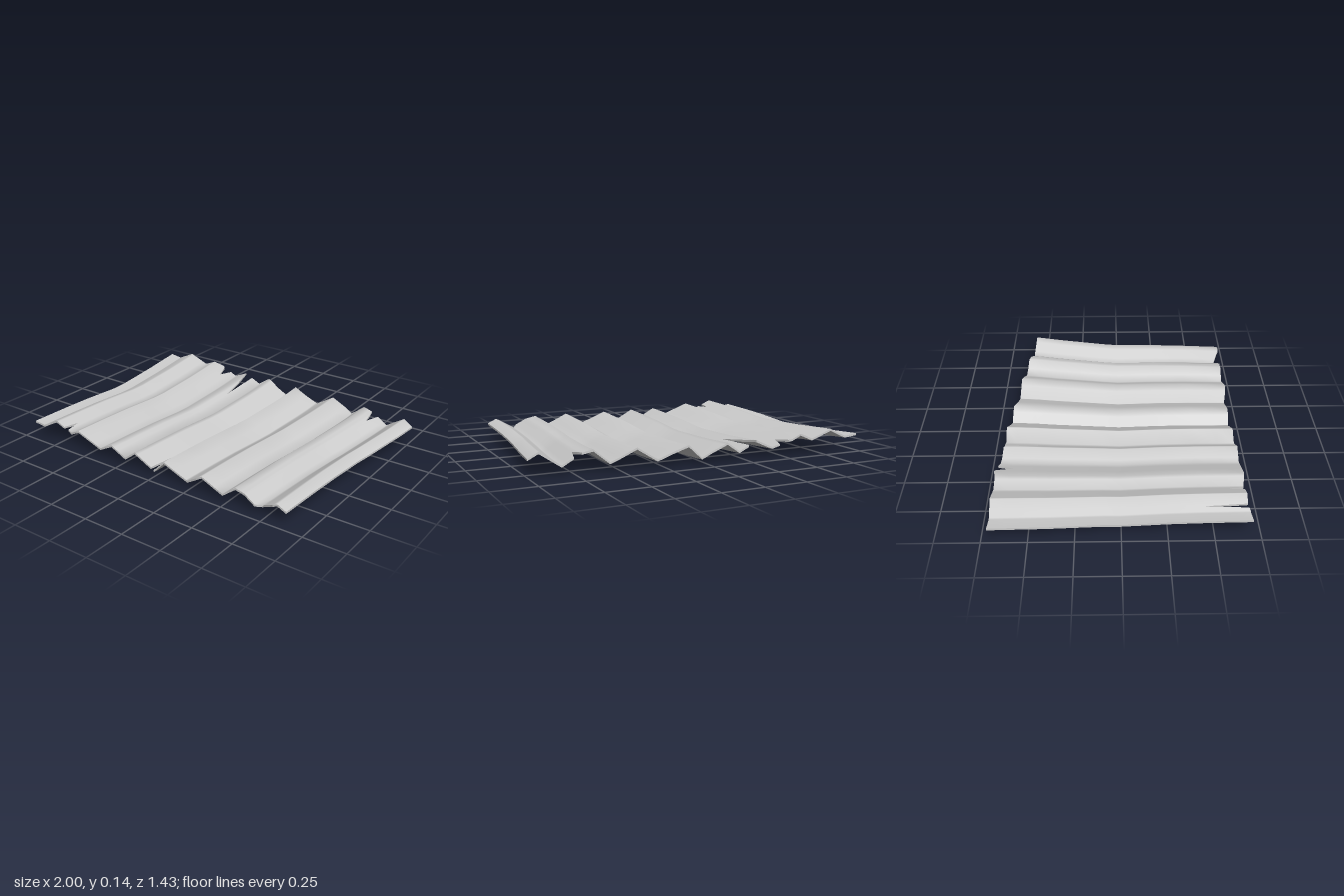
import * as THREE from 'three';
import { mergeVertices } from 'three/addons/utils/BufferGeometryUtils.js';

const THICK = 0.012;

// Piecewise linear lookup in a flat list of key, value pairs
function lerpTable(t, k) {
  if (k <= t[0]) return t[1];
  for (let i = 2; i < t.length; i += 2) {
    if (k <= t[i]) return t[i - 1] + (t[i + 1] - t[i - 1]) * (k - t[i - 2]) / (t[i] - t[i - 2]);
  }
  return t[t.length - 1];
}

// Corrugation across the width: u (-1..1), height
const profile = [
  -1, 0.072, -0.92, 0.062, -0.81, 0.113, -0.68, 0.065, -0.6, 0.1, -0.41, 0.037, -0.31, 0.083,
  -0.2, 0.03, -0.12, 0.085, 0.03, 0.012, 0.11, 0.088, 0.29, 0.022, 0.41, 0.098, 0.56, 0.03,
  0.65, 0.105, 0.72, 0.09, 0.82, 0.032, 0.94, 0.113, 1, 0.08,
];
// Torn front and back edges: u, z
const frontEdge = [
  -1, 0.705, -0.91, 0.7, -0.891, 0.695, -0.881, 0.43, -0.869, 0.69, -0.743, 0.69, -0.727, 0.59,
  -0.71, 0.685, -0.62, 0.7, -0.29, 0.7, 0.005, 0.69, 0.019, 0.45, 0.027, 0.69, 0.28, 0.69,
  0.37, 0.705, 0.69, 0.7, 0.792, 0.712, 0.82, 0.675, 0.89, 0.7, 0.91, 0.71, 1, 0.71,
];
const backEdge = [
  -1, -0.71, -0.9, -0.705, -0.8, -0.71, -0.6, -0.705, -0.53, -0.72, -0.515, -0.71, -0.49, -0.61,
  -0.455, -0.705, -0.38, -0.69, -0.31, -0.685, -0.264, -0.38, -0.262, -0.685, -0.1, -0.685,
  -0.03, -0.67, 0.08, -0.665, 0.2, -0.645, 0.5, -0.63, 0.6, -0.61, 0.71, -0.595, 0.735, -0.48,
  0.755, -0.59, 0.85, -0.58, 1, -0.56,
];
// Side edges (z, x) and lengthwise sag (z, lift)
const leftSide = [-0.71, -1, -0.1, -0.95, 0.71, -0.95];
const rightSide = [-0.56, 1, 0, 0.92, 0.71, 0.88];
const sag = [-0.7, 0.03, -0.4, 0.012, -0.1, 0.001, 0, 0, 0.25, 0.014, 0.45, 0.02, 0.7, 0.024];

function surfacePoint(u, z) {
  const left = lerpTable(leftSide, z), right = lerpTable(rightSide, z);
  // Ridges flatten towards the front right
  const flatten = 1 - 0.25 * Math.max(0, z / 0.7) * Math.max(0, u);
  return [
    left + (right - left) * (u + 1) / 2,
    lerpTable(profile, u) * flatten + lerpTable(sag, z),
    z,
  ];
}

function makeGeometry(positions, index) {
  let g = new THREE.BufferGeometry();
  g.setAttribute('position', new THREE.Float32BufferAttribute(positions, 3));
  g.setIndex(index);
  g = mergeVertices(g, 1e-5);
  // Drop triangles collapsed at the torn edges
  const id = g.index.array, kept = [];
  for (let i = 0; i < id.length; i += 3) {
    const [a, b, c] = [id[i], id[i + 1], id[i + 2]];
    if (a !== b && b !== c && a !== c) kept.push(a, b, c);
  }
  g.setIndex(kept);
  g.computeVertexNormals();
  return g;
}

export function createModel() {
  const group = new THREE.Group();
  group.name = 'corrugatedSheet';
  const material = new THREE.MeshStandardMaterial({ color: 0xcccccc });
  const add = (name, geometry) => {
    const mesh = new THREE.Mesh(geometry, material);
    mesh.name = name;
    group.add(mesh);
  };

  // Columns at every fold and tear, rows clipped to the torn edges
  const keys = [profile, frontEdge, backEdge].flatMap((t) => t.filter((_, i) => i % 2 === 0));
  const columns = [...new Set(keys)].sort((a, b) => a - b);
  const rows = [-1, -0.62, -0.52, -0.4, -0.25, -0.1, 0, 0.12, 0.25, 0.35, 0.45, 0.6, 1];
  const grid = columns.map((u) => {
    const back = lerpTable(backEdge, u), front = lerpTable(frontEdge, u);
    return rows.map((z) => surfacePoint(u, Math.min(front, Math.max(back, z))));
  });
  const nc = columns.length, nr = rows.length;

  // Upper and lower skins
  const top = grid.flat(2);
  const bottom = top.map((v, i) => (i % 3 === 1 ? v - THICK : v));
  const up = [], down = [];
  for (let c = 0; c < nc - 1; c++) {
    for (let r = 0; r < nr - 1; r++) {
      const a = c * nr + r, b = a + 1, d = a + nr, e = d + 1;
      up.push(a, b, d, b, e, d);
      down.push(a, d, b, b, d, e);
    }
  }
  add('upperSurface', makeGeometry(top, up));
  add('lowerSurface', makeGeometry(bottom, down));

  // Thin rim walls; each run keeps the sheet on its left seen from above
  const wall = (points) => {
    const pos = [], idx = [];
    points.forEach(([x, y, z], i) => {
      pos.push(x, y, z, x, y - THICK, z);
      if (i) {
        const k = 2 * i;
        idx.push(k - 2, k - 1, k, k - 1, k + 1, k);
      }
    });
    return makeGeometry(pos, idx).toNonIndexed();
  };
  const rim = {
    frontRim: grid.map((col) => col[nr - 1]),
    rightRim: grid[0],
    backRim: grid.map((col) => col[0]).reverse(),
    leftRim: [...grid[nc - 1]].reverse(),
  };
  for (const [name, points] of Object.entries(rim)) {
    const g = wall(points);
    g.computeVertexNormals();
    add(name, g);
  }
  return group;
}
